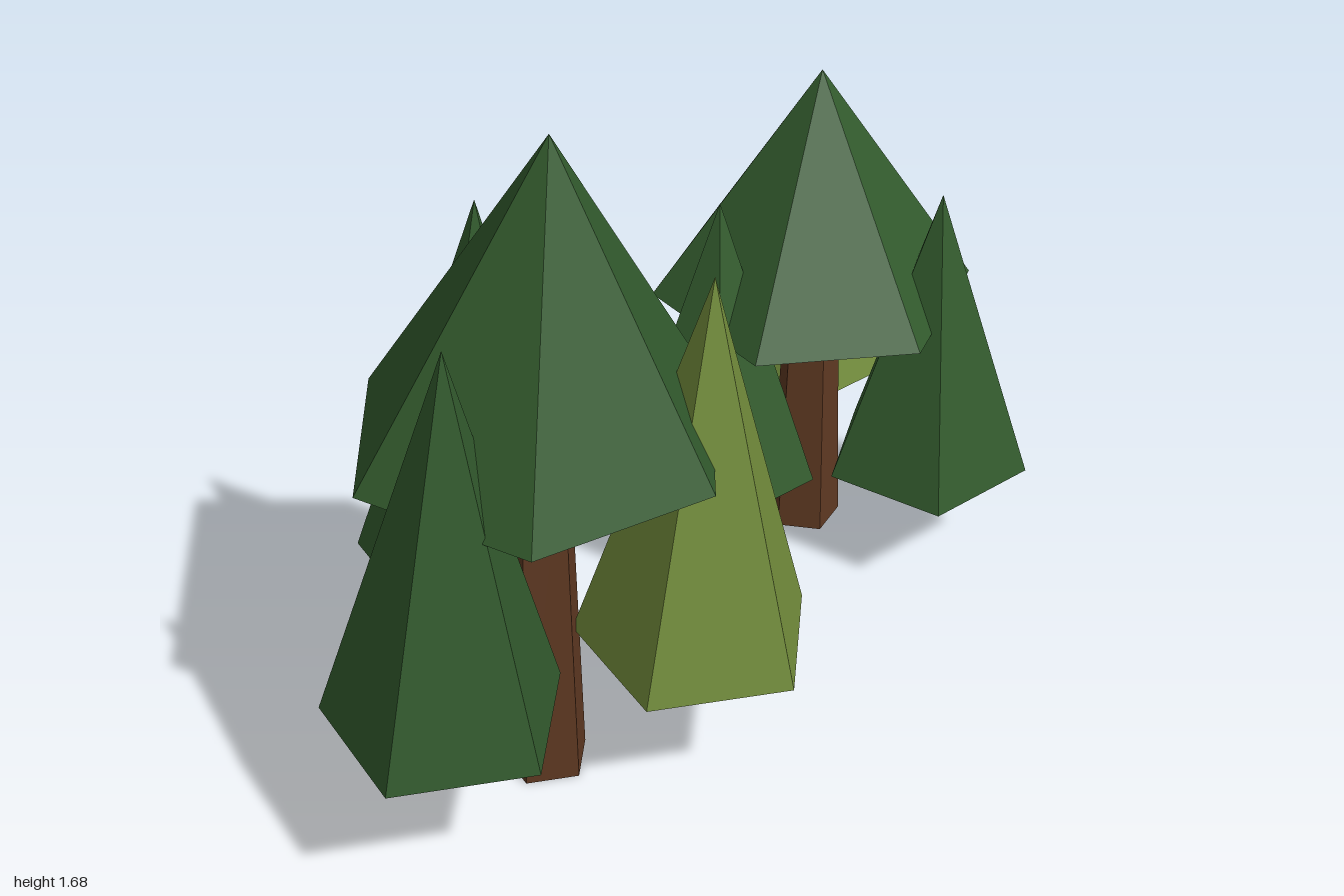
import * as THREE from 'three';

const mat = (name, color) => {
  const m = new THREE.MeshStandardMaterial({ color, flatShading: true });
  m.name = name;
  return m;
};

// Tapered prism; one corner points along `angle`, measured from +x towards +z.
function prism(name, material, { x, z, y0, y1, rBottom, rTop, sides, angle, lean = [0, 0] }) {
  const height = y1 - y0;
  const geo = new THREE.CylinderGeometry(rTop, rBottom, height, sides, 1, false, Math.PI / 2 - angle);
  const p = geo.attributes.position;
  for (let i = 0; i < p.count; i++) {
    if (p.getY(i) > 0) p.setXYZ(i, p.getX(i) + lean[0], p.getY(i), p.getZ(i) + lean[1]);
  }
  geo.computeVertexNormals();
  const mesh = new THREE.Mesh(geo, material);
  mesh.name = name;
  mesh.position.set(x, y0 + height / 2, z);
  return mesh;
}

export function createModel() {
  const bark = mat('bark brown', 0x5f3922);
  const dark = mat('dark foliage green', 0x325a2d);
  const light = mat('light foliage green', 0x728c3c);

  const trees = [
    {
      name: 'tallTree', x: -0.45, z: 0.28, angle: 0, lean: [0.03, 0.03],
      trunkRadius: 0.106, crownRadius: 0.44, crownY: 0.925, topY: 1.68,
      lobeRadius: 0.284, lobeY: 0.38, lobeTop: 1.35, lobeLean: [0.02, 0.023],
      lobes: [[-0.77, 0.43, dark], [-0.157, 0.473, light], [-0.444, -0.056, dark]],
    },
    {
      name: 'shortTree', x: 0.588, z: -0.211, angle: 0.396, lean: [0.025, -0.025],
      trunkRadius: 0.0935, crownRadius: 0.4, crownY: 0.71, topY: 1.29,
      lobeRadius: 0.257, lobeY: 0.29, lobeTop: 1.035, lobeLean: [0.022, -0.023],
      lobes: [[0.282, -0.17, dark], [0.762, 0.067, dark], [0.738, -0.49, light]],
    },
  ];

  const model = new THREE.Group();
  model.name = 'trees';
  for (const t of trees) {
    const tree = new THREE.Group();
    tree.name = t.name;
    // Five-sided trunk, its top buried in the crown
    tree.add(prism('trunk', bark, {
      x: t.x, z: t.z, y0: 0, y1: t.crownY + 0.03,
      rBottom: t.trunkRadius, rTop: t.trunkRadius * 0.72, sides: 5, angle: t.angle,
    }));
    // Six-sided main crown with a slightly off-centre tip
    tree.add(prism('crown', dark, {
      x: t.x, z: t.z, y0: t.crownY, y1: t.topY,
      rBottom: t.crownRadius, rTop: 0, sides: 6, angle: t.angle, lean: t.lean,
    }));
    // Three smaller foliage cones around the trunk, turned once more
    t.lobes.forEach(([x, z, material], i) => tree.add(prism(`foliageCone${i + 1}`, material, {
      x, z, y0: t.lobeY, y1: t.lobeTop,
      rBottom: t.lobeRadius, rTop: 0, sides: 5, angle: t.angle * 2, lean: t.lobeLean,
    })));
    model.add(tree);
  }
  return model;
}
